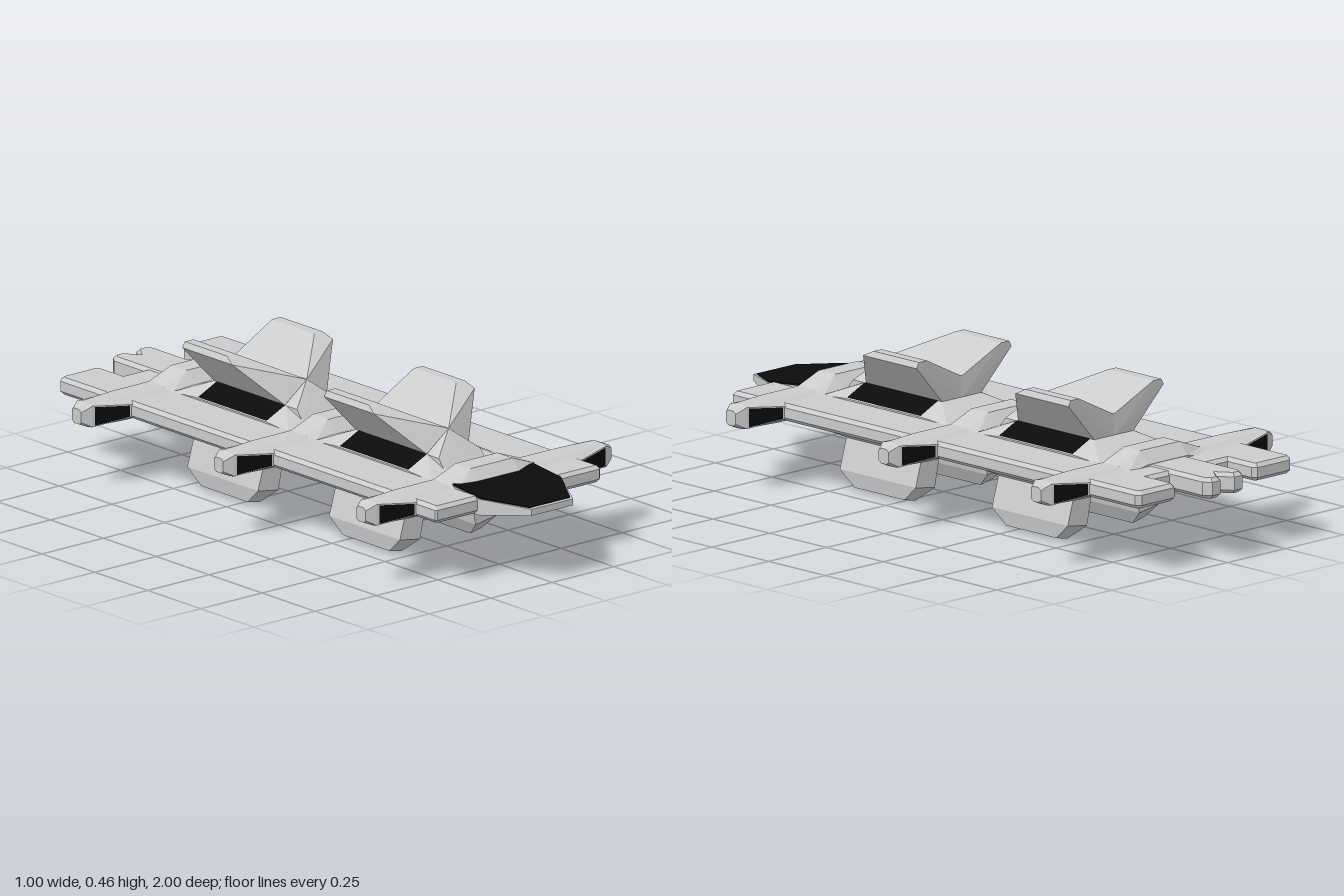
import * as THREE from 'three';
import { ConvexGeometry } from 'three/addons/geometries/ConvexGeometry.js';

const grey = new THREE.MeshStandardMaterial({ color: 0xcccccc, flatShading: true });
const black = new THREE.MeshStandardMaterial({ color: 0x0b0b0b, flatShading: true, side: THREE.DoubleSide });

function part(parent, name, geometry, material = grey) {
  const mesh = new THREE.Mesh(geometry, material);
  mesh.name = name;
  parent.add(mesh);
}

// Convex solid through points [x, y, z]; s = -1 mirrors it across x.
const hull = (points, s = 1) =>
  new ConvexGeometry(points.map(([x, y, z]) => new THREE.Vector3(x * s, y, z)));
const bothSides = (points) => points.flatMap(([x, y, z]) => [[x, y, z], [-x, y, z]]);
const bothEnds = (points) => points.flatMap(([x, y, z]) => [[x, y, z], [x, y, -z]]);

function triangles(list) {
  const g = new THREE.BufferGeometry();
  g.setAttribute('position', new THREE.Float32BufferAttribute(list.flat(), 3));
  g.computeVertexNormals();
  return g;
}
const quad = (a, b, c, d) => triangles([a, b, c, a, c, d]);

// Horizontal plate with bevelled rim; outline is half of the plan, [x, z].
function plate(half, yMid, thickness, bevel) {
  const other = half.filter(([x]) => x > 0).map(([x, z]) => [-x, z]).reverse();
  const shape = new THREE.Shape([...half, ...other].map(([x, z]) => new THREE.Vector2(x, -z)));
  const depth = thickness - 2 * bevel;
  const g = new THREE.ExtrudeGeometry(shape, {
    depth, bevelEnabled: true, bevelThickness: bevel, bevelSize: bevel, bevelOffset: -bevel, bevelSegments: 1,
  });
  g.translate(0, 0, -depth / 2);
  g.rotateX(-Math.PI / 2);
  g.translate(0, yMid, 0);
  return g;
}

// Octagonal rib sections: x, half height, half depth, half height of side face
const RIB = [
  [0.5, 0.024, 0.022, 0.016], [0.467, 0.038, 0.037, 0.034], [0.33, 0.038, 0.07, 0.02],
  [0.175, 0.038, 0.072, 0.018], [0.085, 0.072, 0.072, 0.034],
];
const MID = 0.245;

function ribGeometry() {
  const sections = [...RIB, ...RIB.map(([x, ...r]) => [-x, ...r]).reverse()];
  const rings = sections.map(([x, h, d, s]) => {
    const t = d * 0.5;
    return [[t, h], [d, s], [d, -s], [t, -h], [-t, -h], [-d, -s], [-d, s], [-t, h]]
      .map(([z, y]) => [x, MID + y, z]);
  });
  const tris = [];
  for (let i = 0; i < rings.length - 1; i++) {
    for (let j = 0; j < 8; j++) {
      const k = (j + 1) % 8, a = rings[i], b = rings[i + 1];
      tris.push(a[j], b[j], b[k], a[j], b[k], a[k]);
    }
  }
  const first = rings[0], last = rings[rings.length - 1];
  for (let j = 1; j < 7; j++) {
    tris.push(first[0], first[j], first[j + 1], last[0], last[j + 1], last[j]);
  }
  return triangles(tris);
}

function makeRib() {
  const rib = new THREE.Group();
  rib.name = 'rib';
  part(rib, 'ribBeam', ribGeometry());
  // dark windows on the tapered end faces
  for (const s of [1, -1]) for (const f of [1, -1]) {
    const p = (x, y) => [s * x, MID + y, f * (0.07 - (x - 0.33) * 0.241 + 0.0015)];
    part(rib, 'ribWindow', quad(p(0.342, 0.018), p(0.342, -0.018), p(0.46, -0.03), p(0.46, 0.03)), black);
  }
  return rib;
}

function makeModule() {
  const g = new THREE.Group();
  g.name = 'hullModule';
  // raised spine sloping down to the ribs, with a pointed nose under the fins
  part(g, 'upperHull', hull(bothSides(bothEnds([
    [0.085, 0.315, 0.17], [0.165, 0.278, 0.17], [0.165, 0.25, 0.17],
    [0.085, 0.275, 0.275], [0.165, 0.27, 0.275], [0.165, 0.25, 0.275]]))));
  part(g, 'nose', hull([[0, 0.382, 0.17], ...bothSides([
    [0.085, 0.314, 0.16], [0.085, 0.314, 0.222], [0.085, 0.262, 0.265], [0.085, 0.262, 0.16]])]));
  part(g, 'lowerCentre', hull(bothSides(bothEnds([
    [0.085, 0.17, 0.165], [0.085, 0.23, 0.165], [0.085, 0.21, 0.28], [0.085, 0.23, 0.28]]))));
  for (const s of [1, -1]) {
    part(g, 'lowerHull', hull(bothEnds([
      [0.085, 0.17, 0.165], [0.165, 0.155, 0.165], [0.29, 0.21, 0.165], [0.29, 0.225, 0.165],
      [0.085, 0.23, 0.165], [0.085, 0.21, 0.28], [0.165, 0.205, 0.28], [0.165, 0.225, 0.28]]), s));
    // splayed upper fin with a blunt tip
    part(g, 'fin', hull([
      [0, 0.382, 0.17], [0, 0.382, -0.17], [0, 0.31, 0.16], [0, 0.31, -0.17],
      [0.085, 0.315, 0.165], [0.085, 0.315, -0.17],
      [0.15, 0.442, 0.045], [0.15, 0.442, -0.177], [0.205, 0.443, 0.055], [0.205, 0.443, -0.18],
      [0.16, 0.461, 0.02], [0.16, 0.461, -0.18], [0.195, 0.461, 0.02], [0.195, 0.461, -0.18]], s));
    // landing leg with chamfered foot
    part(g, 'leg', hull(bothEnds([
      [0.085, 0.18, 0.167], [0.165, 0.165, 0.167], [0.196, 0.06, 0.167], [0.113, 0.047, 0.167],
      [0.189, 0.01, 0.11], [0.14, 0, 0.11]]), s));
    // dark panel on the spine flank
    const p = (x, y, z) => [s * x, y + 0.002, z];
    part(g, 'flankPanel', quad(p(0.087, 0.3141, 0.169), p(0.163, 0.2789, 0.169),
      p(0.163, 0.2789, -0.155), p(0.087, 0.3141, -0.155)), black);
  }
  return g;
}

export function createModel() {
  const model = new THREE.Group();
  model.name = 'spaceship';

  part(model, 'deck', plate([
    [0, 0.84], [0.33, 0.84], [0.335, 0.835], [0.335, -0.935], [0.32, -0.95],
    [0.18, -0.95], [0.168, -0.935], [0.168, -0.83], [0, -0.83]], MID, 0.056, 0.012));
  part(model, 'tail', plate([
    [0, -0.68], [0.083, -0.68], [0.083, -0.975], [0.065, -1], [0.03, -1], [0, -0.955]], MID, 0.066, 0.012));

  // wedge-shaped cockpit with dark glazing
  part(model, 'cockpit', hull(bothSides([
    [0.167, 0.281, 0.72], [0.167, 0.207, 0.72], [0.167, 0.267, 0.85], [0.167, 0.215, 0.85],
    [0.085, 0.253, 1], [0.085, 0.232, 1]])));
  part(model, 'canopy', hull(bothSides([
    [0.165, 0.286, 0.72], [0.165, 0.272, 0.85], [0.083, 0.257, 0.988],
    [0.165, 0.27, 0.72], [0.165, 0.262, 0.85], [0.083, 0.25, 0.988]])), black);

  for (const z of [-0.667, 0.004, 0.677]) {
    const rib = makeRib();
    rib.position.z = z;
    model.add(rib);
  }
  for (const z of [-0.33, 0.34]) {
    const hullModule = makeModule();
    hullModule.position.z = z;
    model.add(hullModule);
  }
  return model;
}
